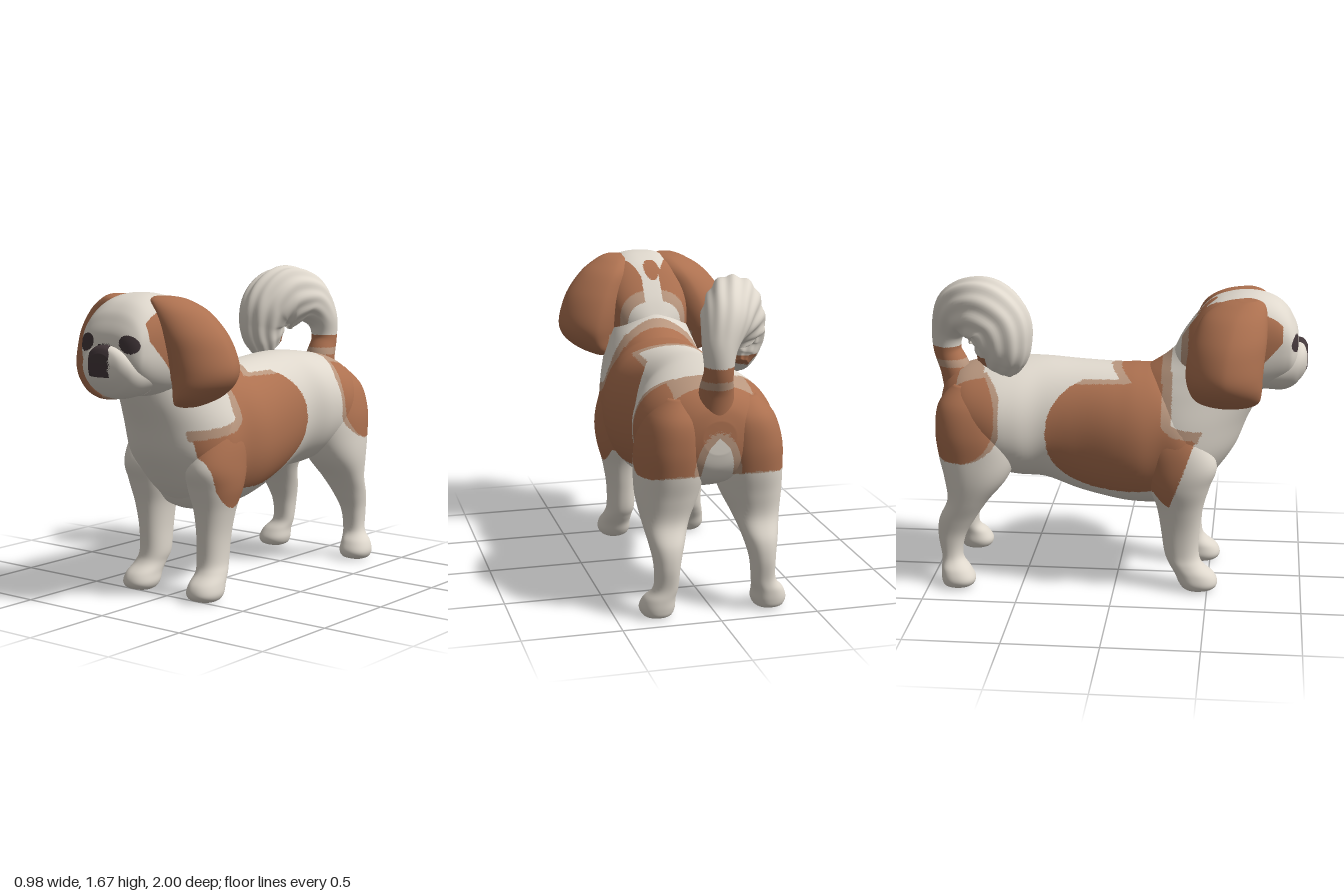
import * as THREE from 'three';

const mat = (name, color) => {
  const m = new THREE.MeshStandardMaterial({ color });
  m.name = name;
  return m;
};
const MATS = [
  mat('cream fur', 0xdfd8cd),
  mat('chestnut fur', 0xad7150),
  mat('pale tan fur', 0xb9977f),
  mat('dark nose and eyes', 0x43373a),
];
const CREAM = 0, BROWN = 1, TAN = 2, DARK = 3;

// Skins a list of closed rings, closes both ends and sorts faces by coat colour.
function skin(name, rings, paint) {
  const n = rings[0].length;
  const mean = (r) => r.reduce((s, p) => s.add(p), new THREE.Vector3()).divideScalar(n);
  const pts = [...rings.flat(), mean(rings[0]), mean(rings[rings.length - 1])];
  const index = [], last = (rings.length - 1) * n, c0 = rings.length * n;
  for (let j = 0; j < n; j++) {
    const k = (j + 1) % n;
    for (let i = 0; i < last; i += n) {
      index.push(i + j, i + k, i + n + j, i + k, i + n + k, i + n + j);
    }
    index.push(c0, k, j, c0 + 1, last + j, last + k);
  }
  const base = new THREE.BufferGeometry().setFromPoints(pts).setIndex(index);
  base.computeVertexNormals();
  const corners = pts.map((p, i) => (
    { p, n: new THREE.Vector3().fromBufferAttribute(base.attributes.normal, i), c: paint(p) }));

  // Faces that cross a colour edge are split so the edge stays crisp.
  const buckets = MATS.map(() => []);
  const half = (a, b) => {
    const p = a.p.clone().lerp(b.p, 0.5);
    return { p, n: a.n.clone().lerp(b.n, 0.5).normalize(), c: paint(p) };
  };
  const add = (a, b, c, depth) => {
    if (depth && (a.c !== b.c || b.c !== c.c)) {
      const ab = half(a, b), bc = half(b, c), ca = half(c, a);
      add(a, ab, ca, depth - 1);
      add(ab, b, bc, depth - 1);
      add(ca, bc, c, depth - 1);
      add(ab, bc, ca, depth - 1);
    } else buckets[b.c === c.c ? b.c : a.c].push(a, b, c);
  };
  for (let i = 0; i < index.length; i += 3) {
    add(corners[index[i]], corners[index[i + 1]], corners[index[i + 2]], 2);
  }
  const all = buckets.flat();
  const g = new THREE.BufferGeometry().setFromPoints(all.map((v) => v.p));
  g.setAttribute('normal', new THREE.Float32BufferAttribute(all.flatMap((v) => v.n.toArray()), 3));
  let start = 0;
  buckets.forEach((b, i) => {
    if (b.length) g.addGroup(start, b.length, i);
    start += b.length;
  });
  const mesh = new THREE.Mesh(g, MATS);
  mesh.name = name;
  return mesh;
}

// Smooth interpolation through rows of numbers.
function smoothRows(rows, steps) {
  const out = [], last = rows.length - 1;
  for (let i = 0; i <= last * steps; i++) {
    const s = Math.min(Math.floor(i / steps), last - 1), t = i / steps - s;
    const [a, b, c, d] = [s - 1, s, s + 1, s + 2].map((k) => rows[Math.max(0, Math.min(last, k))]);
    out.push(b.map((v, k) => v + 0.5 * t * (c[k] - a[k]
      + t * (2 * a[k] - 5 * v + 4 * c[k] - d[k] + t * (3 * (v - c[k]) + d[k] - a[k])))));
  }
  return out;
}

// Loft of rows [position, low, high, xMin, xMax]; z rows run forwards, y rows run downwards.
function loft(name, axis, rows, { side = 1, power = 2.2, segs = 60, paint = () => CREAM } = {}) {
  const bend = (v) => Math.sign(v) * Math.abs(v) ** (2 / power);
  const rings = smoothRows(rows, 6).map(([a, lo, hi, x0, x1]) => {
    const ring = [];
    for (let j = 0; j < segs; j++) {
      const t = (j / segs) * Math.PI * 2;
      const x = side * (x0 + x1) / 2 + (x1 - x0) / 2 * bend(Math.cos(t));
      const o = (lo + hi) / 2 + (hi - lo) / 2 * bend(Math.sin(t));
      ring.push(axis === 'z' ? new THREE.Vector3(x, o, a) : new THREE.Vector3(x, a, o));
    }
    return ring;
  });
  return skin(name, rings, paint);
}
const even = (rows) => rows.map(([a, lo, hi, w]) => [a, lo, hi, -w, w]);

// Coat patches on the trunk and legs; m widens them for the tan border.
function inSaddle({ x, y, z }, m) {
  const ax = Math.abs(x);
  if (y > 1.06 && z > 0.02 + ax * ax * 2 - m && z < 0.24 + m) return true;
  const oval = Math.abs((z - 0.05) / 0.41) ** 2.4 + Math.abs((y - 0.86) / 0.31) ** 2.4 < 1;
  if (z < 0.25 + m && ax > 0.19 - m / 2 && (oval || (z > -0.12 && y > 0.8))) return true;
  const front = 0.43 + 0.36 * (y - 0.5) - (x < 0 ? 0.13 : 0);
  const hem = 0.48 + 6 * (z - 0.33) ** 2;
  const top = 0.83 + 0.006 / Math.max(0.02, z - 0.19);
  return ax > 0.22 - m / 2 && y > hem && y < top + m && z > 0.19 && z < front + m / 3;
}
function inRump({ x, y, z }, m) {
  const ax = Math.abs(x);
  if (y < 0.72 || (ax / (0.12 - m)) ** 2 + ((y - 0.72) / (0.23 - m)) ** 2 < 1) return false;
  if (y > 1.08 && ax < 0.2 - m && z > -0.84 + 3.5 * m) return false;
  return z < -0.6 && Math.abs((z + 0.84) / (0.22 + m)) ** 2.2 + Math.abs((y - 0.96) / 0.245) ** 2.2 < 1;
}
function coat(p) {
  if (inSaddle(p, 0) || inRump(p, 0)) return BROWN;
  const border = (inSaddle(p, 0.05) && p.y > 0.84) || inRump(p, 0.04);
  return border ? TAN : CREAM;
}

// Dark eyes and nose, and brown cheeks either side of a pale blaze with one crown spot.
function headCoat({ x, y, z }) {
  const ax = Math.abs(x);
  if (z > 0.8 && ((ax - 0.138) / 0.055) ** 2 + ((y - 1.357 + (ax - 0.138) * 0.15) / 0.044) ** 2 < 1) return DARK;
  if (z > 0.94 && y > 1.195 && y < 1.352 && Math.abs(x + 0.008) < 0.067 - Math.max(0, y - 1.31) * 0.6) return DARK;
  if (((x + 0.015) / 0.042) ** 2 + ((z - 0.47) / 0.055) ** 2 < 1 && y > 1.3) return BROWN;
  const blaze = Math.min(0.185, Math.max(0.05, 0.085 + (z - 0.5) * 0.5));
  const front = 0.865 - Math.max(0, 1.37 - y) * 0.9;
  if (ax < blaze || z < 0.34 || z > front || y < 1.15) return CREAM;
  return z < 0.38 ? TAN : BROWN;
}
const earCoat = ({ x, y }) => (Math.abs(x) < 0.24 && y < 1.17 ? TAN : BROWN);

// Curled plume: ellipses swept along a curve, with ridges for locks of hair.
function makeTail() {
  const rows = smoothRows([ // x, y, z, half width, half depth
    [0, 1.02, -0.86, 0.09, 0.08], [0, 1.14, -0.88, 0.085, 0.08], [0, 1.25, -0.92, 0.072, 0.074],
    [-0.01, 1.37, -0.905, 0.09, 0.095], [-0.06, 1.47, -0.83, 0.125, 0.145],
    [-0.13, 1.49, -0.71, 0.145, 0.18], [-0.18, 1.43, -0.615, 0.14, 0.175],
    [-0.2, 1.33, -0.59, 0.12, 0.15], [-0.19, 1.25, -0.61, 0.09, 0.13], [-0.18, 1.2, -0.635, 0.05, 0.1],
  ], 8);
  const pos = rows.map((r) => new THREE.Vector3(r[0], r[1], r[2]));
  const rings = rows.map(([, , , a, b], i) => {
    const T = pos[Math.min(i + 1, pos.length - 1)].clone().sub(pos[Math.max(i - 1, 0)]).normalize();
    const S = new THREE.Vector3(1, 0, 0).addScaledVector(T, -T.x).normalize();
    const N = T.clone().cross(S);
    const ridge = 0.035 * Math.min(1, Math.max(0, (i - 22) / 14));
    return Array.from({ length: 80 }, (_, j) => {
      const t = (j / 80) * Math.PI * 2;
      const k = 1 + ridge * Math.sin(11 * t + i * 0.06) + ridge * 0.5 * Math.sin(5 * t - i * 0.1);
      return pos[i].clone().addScaledVector(S, a * k * Math.cos(t)).addScaledVector(N, b * k * Math.sin(t));
    });
  });
  return skin('tail', rings, ({ y, z }) => {
    if (z > -0.67 || y > 1.27) return CREAM;
    return y > 1.16 && y < 1.2 ? TAN : BROWN;
  });
}

export function createModel() {
  const dog = new THREE.Group();
  dog.name = 'dog';

  // Trunk, from rump to breast
  dog.add(loft('body', 'z', even([
    [-0.95, 0.84, 1.0, 0.08], [-0.93, 0.76, 1.07, 0.17], [-0.88, 0.69, 1.13, 0.25], [-0.8, 0.65, 1.17, 0.32],
    [-0.66, 0.6, 1.195, 0.355], [-0.52, 0.57, 1.21, 0.335], [-0.38, 0.555, 1.213, 0.285],
    [-0.2, 0.49, 1.2, 0.288], [0, 0.445, 1.188, 0.325], [0.12, 0.432, 1.19, 0.335], [0.24, 0.432, 1.18, 0.32],
    [0.36, 0.45, 1.1, 0.32], [0.45, 0.54, 1.02, 0.27], [0.52, 0.64, 0.93, 0.17],
  ]), { paint: coat, segs: 80, power: 2.1 }));

  // Breast and neck
  dog.add(loft('neck', 'y', even([
    [1.42, 0.42, 0.72, 0.17], [1.34, 0.35, 0.78, 0.19], [1.25, 0.26, 0.81, 0.205], [1.16, 0.13, 0.805, 0.23],
    [1.06, 0.04, 0.765, 0.262], [0.92, 0, 0.695, 0.3], [0.77, 0, 0.635, 0.315], [0.65, 0.03, 0.555, 0.3],
    [0.56, 0.08, 0.48, 0.26], [0.49, 0.14, 0.4, 0.18], [0.46, 0.2, 0.32, 0.08],
  ]), { paint: coat, power: 1.9 }));

  // Skull and short muzzle
  dog.add(loft('head', 'z', even([
    [0.3, 1.13, 1.28, 0.08], [0.36, 1.08, 1.39, 0.17], [0.48, 1.07, 1.535, 0.235], [0.6, 1.06, 1.585, 0.248],
    [0.72, 1.07, 1.592, 0.238], [0.82, 1.1, 1.565, 0.222], [0.885, 1.14, 1.515, 0.206],
    [0.92, 1.18, 1.46, 0.186], [0.942, 1.22, 1.41, 0.14], [0.95, 1.25, 1.36, 0.06],
  ]), { paint: headCoat, power: 2.5, segs: 80 }));
  dog.add(loft('muzzle', 'z', even([
    [0.78, 1.08, 1.32, 0.19], [0.87, 1.075, 1.338, 0.178], [0.925, 1.095, 1.347, 0.166], [0.96, 1.13, 1.349, 0.146],
    [0.985, 1.165, 1.337, 0.115], [1.0, 1.195, 1.31, 0.07],
  ]), { paint: headCoat, power: 2, segs: 96 }));

  for (const side of [1, -1]) {
    const label = side > 0 ? 'left' : 'right';

    // Heavy hanging ear, wedge-shaped towards its outer edge
    dog.add(loft(label + 'Ear', 'y', [
      [1.58, 0.64, 0.73, 0.1, 0.195], [1.56, 0.54, 0.77, 0.06, 0.25], [1.5, 0.455, 0.785, 0.05, 0.345],
      [1.4, 0.405, 0.785, 0.08, 0.43], [1.3, 0.38, 0.775, 0.11, 0.475], [1.21, 0.375, 0.768, 0.14, 0.49],
      [1.14, 0.39, 0.765, 0.165, 0.46], [1.08, 0.42, 0.755, 0.185, 0.39], [1.045, 0.47, 0.72, 0.195, 0.32],
      [1.03, 0.53, 0.66, 0.22, 0.28],
    ], { side, paint: earCoat, power: 1.75 }));

    // Front leg with paw
    dog.add(loft(label + 'FrontLeg', 'y', [
      [1.02, 0.18, 0.38, 0.14, 0.24], [0.86, 0.13, 0.47, 0.09, 0.312], [0.7, 0.15, 0.54, 0.07, 0.335],
      [0.58, 0.18, 0.505, 0.075, 0.328], [0.46, 0.225, 0.472, 0.105, 0.297], [0.33, 0.248, 0.455, 0.118, 0.275],
      [0.2, 0.268, 0.452, 0.12, 0.272], [0.14, 0.295, 0.475, 0.13, 0.285], [0.09, 0.325, 0.535, 0.13, 0.3],
      [0.045, 0.345, 0.555, 0.127, 0.307], [0.015, 0.365, 0.54, 0.14, 0.295], [0, 0.39, 0.5, 0.165, 0.27],
    ], { side, paint: coat, segs: 52 }));

    // Hind leg: thigh, hock and paw
    dog.add(loft(label + 'HindLeg', 'y', [
      [1.1, -0.86, -0.66, 0.05, 0.23], [1.0, -0.94, -0.57, 0.03, 0.32], [0.86, -0.957, -0.53, 0.02, 0.367],
      [0.72, -0.94, -0.53, 0.03, 0.375], [0.6, -0.912, -0.575, 0.06, 0.372], [0.48, -0.897, -0.675, 0.115, 0.352],
      [0.37, -0.943, -0.75, 0.155, 0.328], [0.27, -0.95, -0.805, 0.18, 0.312], [0.16, -0.932, -0.82, 0.19, 0.315],
      [0.1, -0.932, -0.775, 0.2, 0.36], [0.05, -0.93, -0.748, 0.2, 0.378], [0.015, -0.92, -0.76, 0.215, 0.365],
      [0, -0.89, -0.8, 0.245, 0.335],
    ], { side, paint: coat, segs: 52 }));
  }

  dog.add(makeTail());
  return dog;
}
